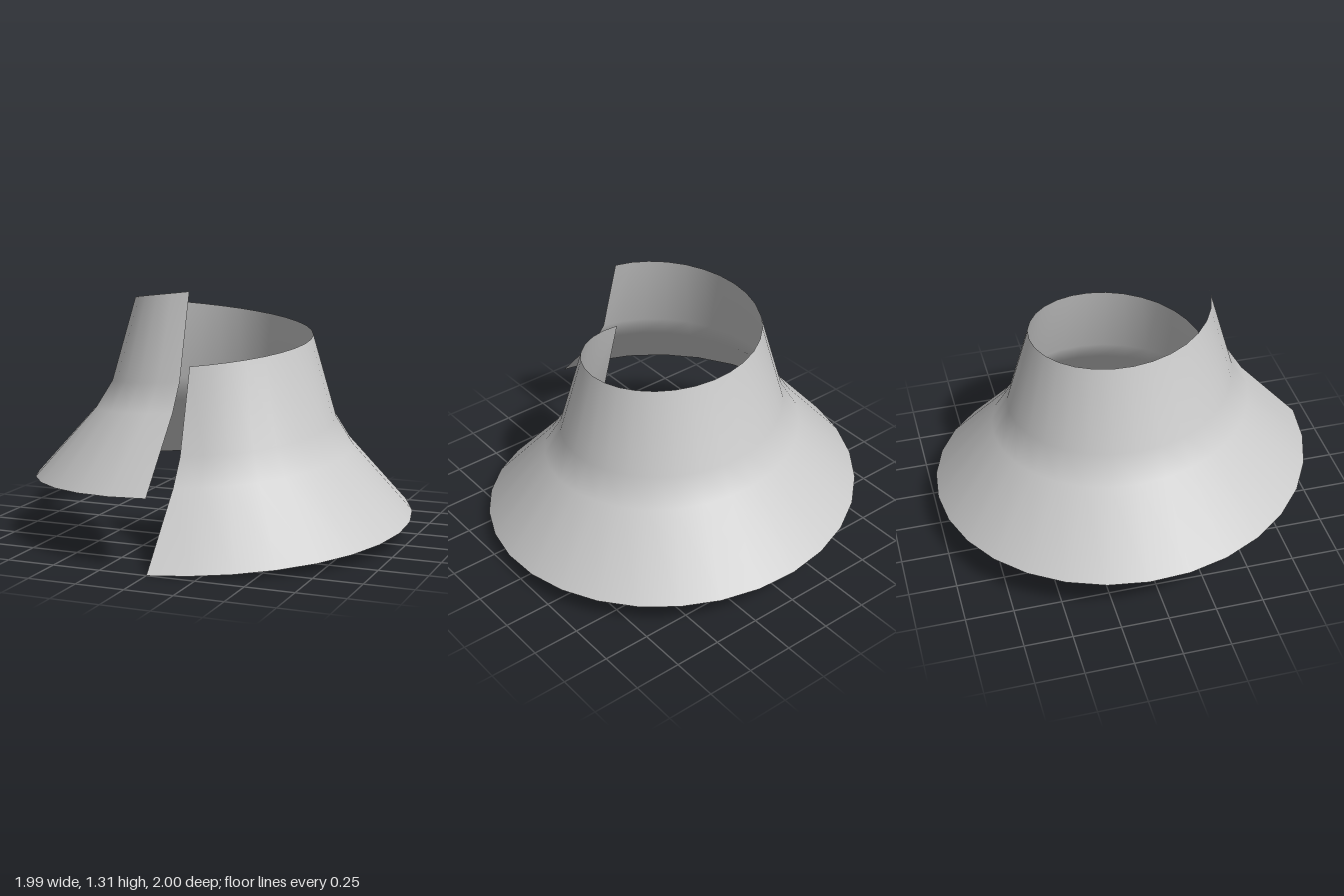
import * as THREE from 'three';

const SEGMENTS = 30; // sides in one full turn
const RISE = 0.375; // height gained over the turn

// Flared collar profile as (radius, height), bottom to top
const PROFILE = [[1, 0.005], [0.68, 0.363], [0.592, 0.505], [0.467, 0.94]];

export function createModel() {
  const group = new THREE.Group();
  group.name = 'helicalCollar';

  // One turn of the profile, starting and ending at the front
  const points = PROFILE.map(([r, y]) => new THREE.Vector2(r, y));
  const geometry = new THREE.LatheGeometry(points, SEGMENTS);

  // Lift each column of vertices steadily so the turn becomes a helix
  const pos = geometry.attributes.position;
  for (let i = 0; i < pos.count; i++) {
    const column = Math.floor(i / PROFILE.length);
    pos.setY(i, pos.getY(i) + (RISE * column) / SEGMENTS);
  }
  geometry.computeVertexNormals();

  const material = new THREE.MeshStandardMaterial({ color: 0xcccccc, side: THREE.DoubleSide });
  const collar = new THREE.Mesh(geometry, material);
  collar.name = 'flaredSpiralSheet';
  collar.position.y = -PROFILE[0][1];
  group.add(collar);
  return group;
}
